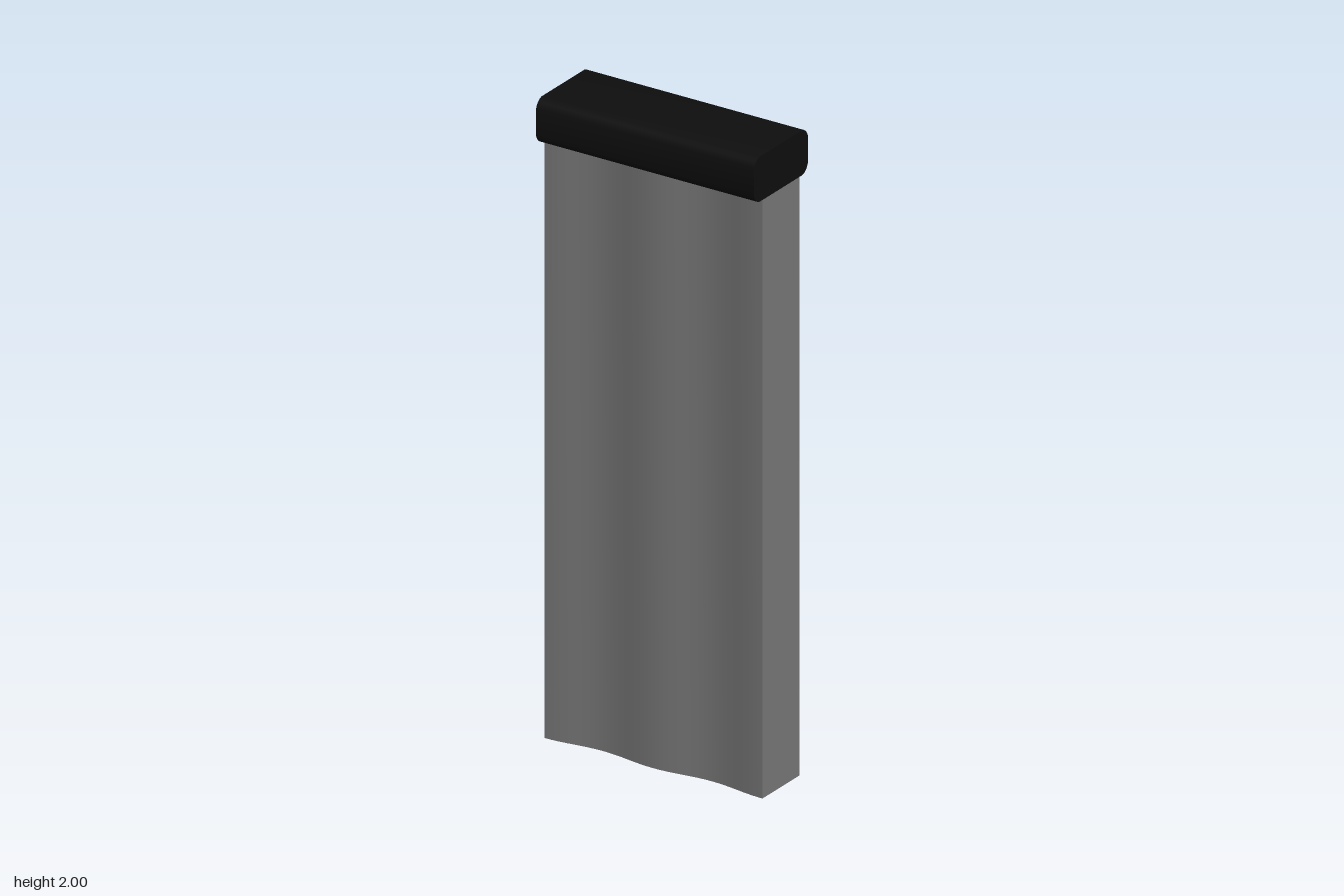
import * as THREE from 'three';
import { toCreasedNormals } from 'three/addons/utils/BufferGeometryUtils.js';

const HALF_WIDTH = 0.37;
const CAP_BOTTOM = 1.86;

// Half depth of the panel: two shallow flutes across the width
const halfDepth = (x) => 0.085 + 0.009 * Math.cos((2 * Math.PI * x) / HALF_WIDTH);

function panelGeometry() {
  const steps = 32;
  const front = [];
  for (let i = 0; i <= steps; i++) {
    const x = -HALF_WIDTH + (2 * HALF_WIDTH * i) / steps;
    front.push(new THREE.Vector2(x, halfDepth(x)));
  }
  const back = front.map((p) => new THREE.Vector2(p.x, -p.y)).reverse();
  const geometry = new THREE.ExtrudeGeometry(new THREE.Shape([...front, ...back]), {
    depth: CAP_BOTTOM, bevelEnabled: false,
  });
  geometry.rotateX(-Math.PI / 2); // extrude upwards
  return toCreasedNormals(geometry, 0.6);
}

function capGeometry() {
  // Bar profile with softened corners, in depth and height
  const d = 0.137, h = 2 - CAP_BOTTOM, r = 0.027;
  const shape = new THREE.Shape();
  shape.moveTo(-d + r, 0);
  shape.lineTo(d - r, 0);
  shape.quadraticCurveTo(d - 0.006, 0.006, d, r);
  shape.lineTo(d, h - r);
  shape.quadraticCurveTo(d - 0.006, h - 0.006, d - r, h);
  shape.lineTo(-d + r, h);
  shape.quadraticCurveTo(-d + 0.006, h - 0.006, -d, h - r);
  shape.lineTo(-d, r);
  shape.quadraticCurveTo(-d + 0.006, 0.006, -d + r, 0);
  const geometry = new THREE.ExtrudeGeometry(shape, {
    depth: 2 * HALF_WIDTH, bevelEnabled: false, curveSegments: 4,
  });
  geometry.translate(0, CAP_BOTTOM, -HALF_WIDTH);
  geometry.rotateY(Math.PI / 2); // run along the width
  return toCreasedNormals(geometry, 0.5);
}

export function createModel() {
  const group = new THREE.Group();
  group.name = 'cappedPanel';

  const grey = new THREE.MeshStandardMaterial({ color: 0x787878 });
  grey.name = 'panelGrey';
  const black = new THREE.MeshStandardMaterial({ color: 0x0e0e0e });
  black.name = 'capBlack';

  const panel = new THREE.Mesh(panelGeometry(), grey);
  panel.name = 'flutedPanel';
  const cap = new THREE.Mesh(capGeometry(), black);
  cap.name = 'topCap';

  group.add(panel, cap);
  return group;
}
